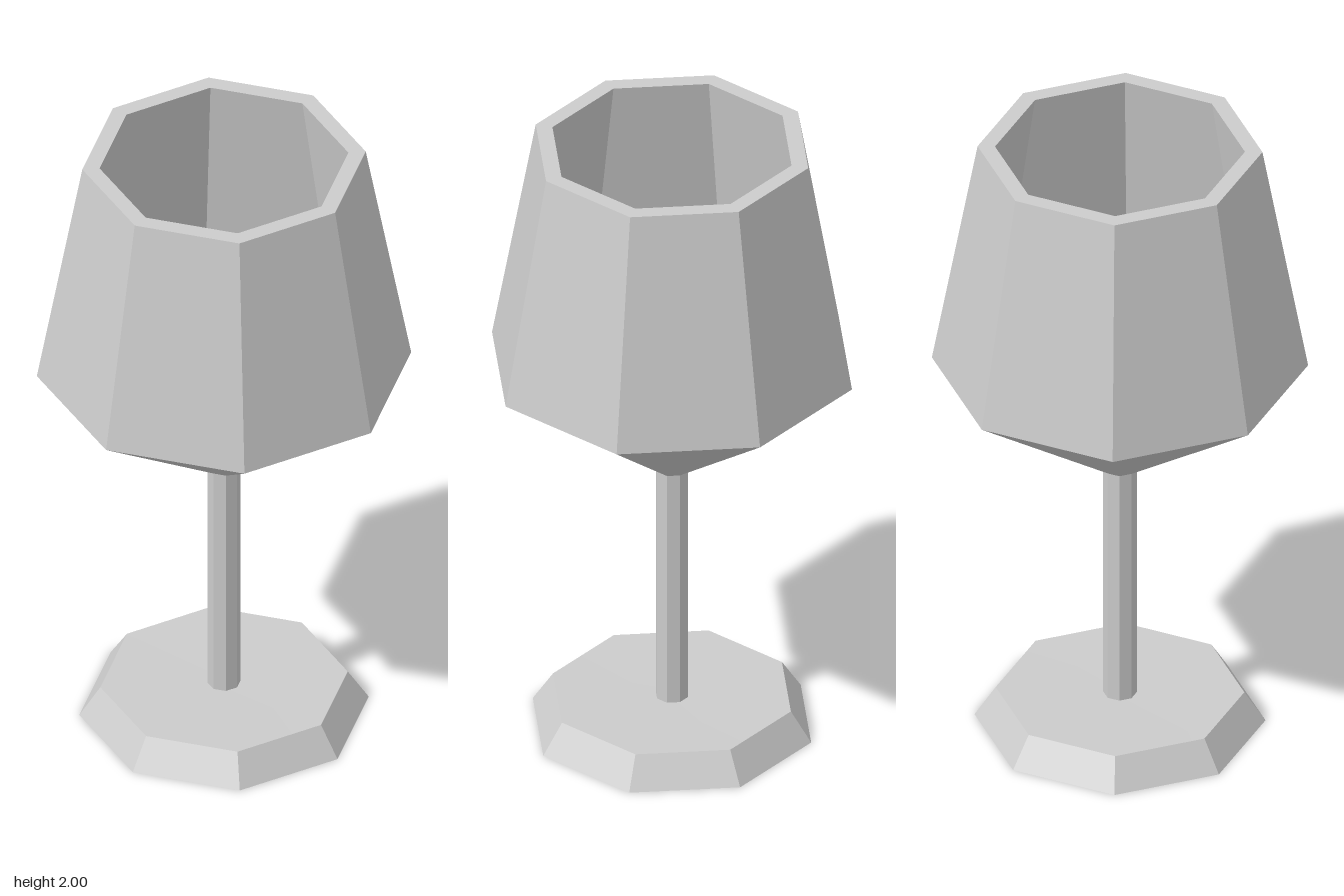
import * as THREE from 'three';
import { toCreasedNormals } from 'three/addons/utils/BufferGeometryUtils.js';

const SIDES = 8;
const material = new THREE.MeshStandardMaterial({ color: 0xcccccc });

// Eight-sided turned part from [radius, height] points, listed so the surface faces outward
function turned(name, profile) {
  const points = profile.map(([r, y]) => new THREE.Vector2(r, y));
  const geometry = toCreasedNormals(new THREE.LatheGeometry(points, SIDES), Math.PI / 6);
  const mesh = new THREE.Mesh(geometry, material);
  mesh.name = name;
  return mesh;
}

export function createModel() {
  const glass = new THREE.Group();
  glass.name = 'wineGlass';

  // Foot: bevelled disc, dipping very slightly towards the stem
  glass.add(turned('foot', [[0, 0], [0.433, 0], [0.37, 0.097], [0.05, 0.09]]));

  // Stem: slim straight column
  glass.add(turned('stem', [[0.05, 0.09], [0.05, 0.88]]));

  // Bowl: outer cone and wall, flat rim, then the inner wall and floor
  glass.add(turned('bowl', [
    [0.05, 0.88], [0.56, 1.253], [0.424, 2],
    [0.372, 2], [0.502, 1.275], [0, 0.91],
  ]));

  return glass;
}
